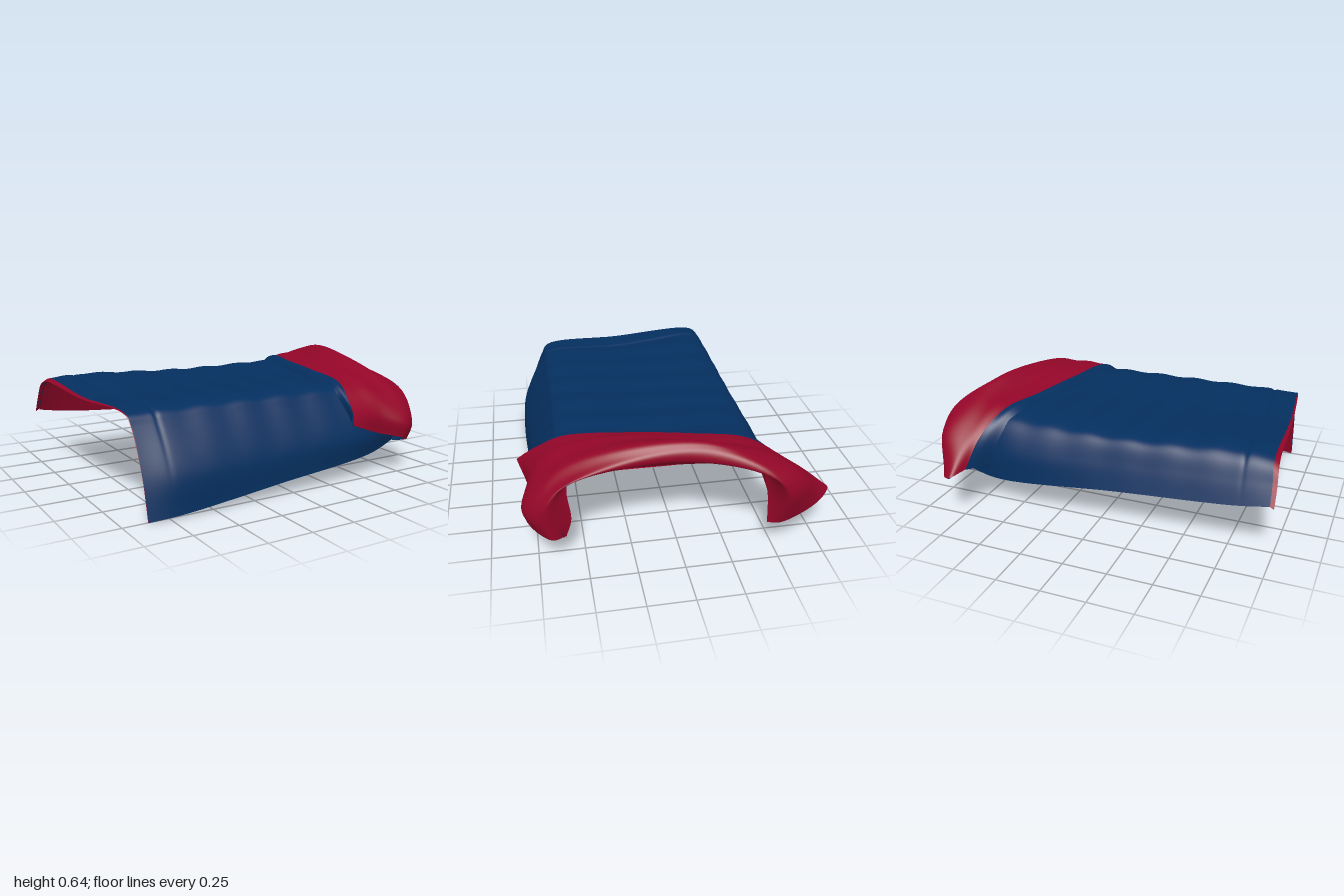
import * as THREE from 'three';

const blue = new THREE.MeshStandardMaterial({ color: 0x052f5f, side: THREE.DoubleSide });
blue.name = 'navy cloth';
const red = new THREE.MeshStandardMaterial({ color: 0x930628, side: THREE.DoubleSide });
red.name = 'crimson lining';

// Smooth surface through rails; each rail runs from the front hem over the top to the back hem
function loft(rails, across, along, rule) {
  const curves = rails.map(r => new THREE.CatmullRomCurve3(r.map(p => new THREE.Vector3(...p))));
  const pos = [], index = [], w = along + 1;
  const rows = [];
  for (let j = 0; j <= along; j++) {
    const section = new THREE.CatmullRomCurve3(curves.map(c => c.getPoint(j / along)));
    rows.push(Array.from({ length: across + 1 }, (_, i) => section.getPoint(i / across)));
  }
  for (let i = 0; i <= across; i++) {
    for (let j = 0; j <= along; j++) {
      const p = rows[j][i];
      if (rule) rule(p, i / across, j / along);
      pos.push(p.x, p.y, p.z);
      if (i < across && j < along) {
        const a = i * w + j, b = a + w;
        index.push(a, b, a + 1, b, b + 1, a + 1);
      }
    }
  }
  const g = new THREE.BufferGeometry();
  g.setAttribute('position', new THREE.Float32BufferAttribute(pos, 3));
  g.setIndex(index);
  g.computeVertexNormals();
  return g;
}

// Copy of a surface shifted inward and turned to face the other way
function inside(geometry, depth) {
  const g = geometry.clone();
  const p = g.attributes.position, n = g.attributes.normal;
  for (let i = 0; i < p.count; i++) {
    p.setXYZ(i, p.getX(i) - n.getX(i) * depth, p.getY(i) - n.getY(i) * depth, p.getZ(i) - n.getZ(i) * depth);
  }
  g.setIndex(Array.from(geometry.index.array).reverse());
  g.computeVertexNormals();
  return g;
}

export function createModel() {
  const group = new THREE.Group();
  group.name = 'foldedBlanket';
  const add = (name, geometry, material) => {
    const m = new THREE.Mesh(geometry, material);
    m.name = name;
    group.add(m);
  };

  // Draped sheet: front wall, flat top, shorter back wall
  const left = [[-.865, 0, .76], [-.87, .22, .71], [-.88, .45, .62], [-.89, .505, .58], [-.935, .51, .1],
    [-.955, .53, -.41], [-.96, .50, -.475], [-.97, .41, -.525], [-.975, .315, -.575]];
  const nearLeft = [[-.68, .015, .78], [-.69, .22, .755], [-.70, .45, .635], [-.71, .51, .58], [-.73, .51, .1],
    [-.78, .54, -.41], [-.79, .505, -.475], [-.79, .40, -.53], [-.79, .285, -.575]];
  const middle = [[-.1, .07, .765], [-.1, .23, .75], [-.1, .45, .635], [-.1, .51, .58], [-.1, .51, .1],
    [-.1, .51, -.41], [-.1, .485, -.475], [-.1, .37, -.53], [-.1, .23, -.575]];
  const nearRight = [[.55, .12, .715], [.55, .25, .73], [.55, .45, .635], [.54, .505, .58], [.55, .51, .1],
    [.58, .51, -.41], [.59, .47, -.475], [.61, .33, -.54], [.62, .16, -.56]];
  const right = [[.85, .155, .61], [.84, .26, .64], [.83, .45, .61], [.82, .50, .57], [.79, .51, .1],
    [.84, .51, -.40], [.87, .47, -.45], [.90, .32, -.465], [.91, .155, -.47]];
  const ripple = (p, u, v) => {
    p.y += Math.sin(Math.PI * v) * Math.sin(Math.PI * u) * .005 * Math.sin(p.x * 26 + p.z * 2);
    // Stitched crease near the left end
    const d = (p.x + .78 - p.z * .06) / .012;
    p.y -= .01 * Math.exp(-d * d) * Math.sin(Math.PI * v);
  };
  const sheet = loft([left, nearLeft, middle, nearRight, right], 90, 72, ripple);
  add('blanketTop', sheet, blue);
  add('blanketLining', inside(sheet, .009), red);

  // Narrow turned edge along the left end, vanishing at the front wall
  const hemWidth = [0, 0, 0, .005, .014, .026, .028, .025, .022];
  const turned = left.map(([x, y, z], i) => [x - hemWidth[i], y - hemWidth[i] * .6, z]);
  add('leftHem', loft([turned, left], 3, 72), red);

  // Turned-back cuff over the right end, from the underside round to its free edge
  const under = [[.82, .145, .60], [.82, .25, .57], [.82, .44, .585], [.80, .495, .56], [.78, .50, .2],
    [.80, .50, -.12], [.85, .50, -.40], [.88, .36, -.45], [.90, .155, -.46]];
  const outer = [[.86, .16, .68], [.865, .27, .72], [.87, .40, .68], [.86, .48, .59], [.825, .55, .22],
    [.87, .56, -.12], [.99, .49, -.45], [.99, .36, -.54], [.93, .17, -.53]];
  const shoulder = [[.74, .215, .80], [.76, .30, .815], [.77, .43, .72], [.75, .525, .58], [.775, .61, .22],
    [.83, .635, -.13], [.91, .565, -.40], [.92, .44, -.63], [.87, .235, -.75]];
  const crest = [[.57, .26, .77], [.57, .36, .775], [.57, .47, .70], [.58, .535, .57], [.60, .58, .22],
    [.69, .57, -.13], [.76, .555, -.40], [.78, .44, -.62], [.78, .265, -.83]];
  const edge = [[.335, .345, .83], [.37, .40, .78], [.40, .46, .70], [.44, .53, .57], [.50, .55, .22],
    [.575, .55, -.13], [.65, .54, -.40], [.71, .43, -.59], [.735, .28, -.73]];
  const folds = (p, u, v) => {
    p.y += Math.sin(Math.PI * v) * Math.sin(Math.PI * u) * .005 * Math.sin(u * 24 + v * 7);
  };
  const cuff = loft([edge, crest, shoulder, outer, under], 44, 72, folds);
  add('foldedCuff', cuff, red);
  add('cuffInside', inside(cuff, .01), blue);

  // Blue lip below the cuff's free edge
  const lip = [[.37, .33, .79], [.38, .38, .73], [.38, .44, .66], [.385, .505, .58], [.44, .51, .22],
    [.51, .51, -.13], [.58, .51, -.42], [.64, .37, -.54], [.67, .22, -.59]];
  const lipCrest = lip.map((p, i) => p.map((c, k) => (c + edge[i][k]) / 2 + (k === 1 ? .012 : 0)));
  add('cuffLip', loft([lip, lipCrest, edge], 8, 72), blue);

  return group;
}
